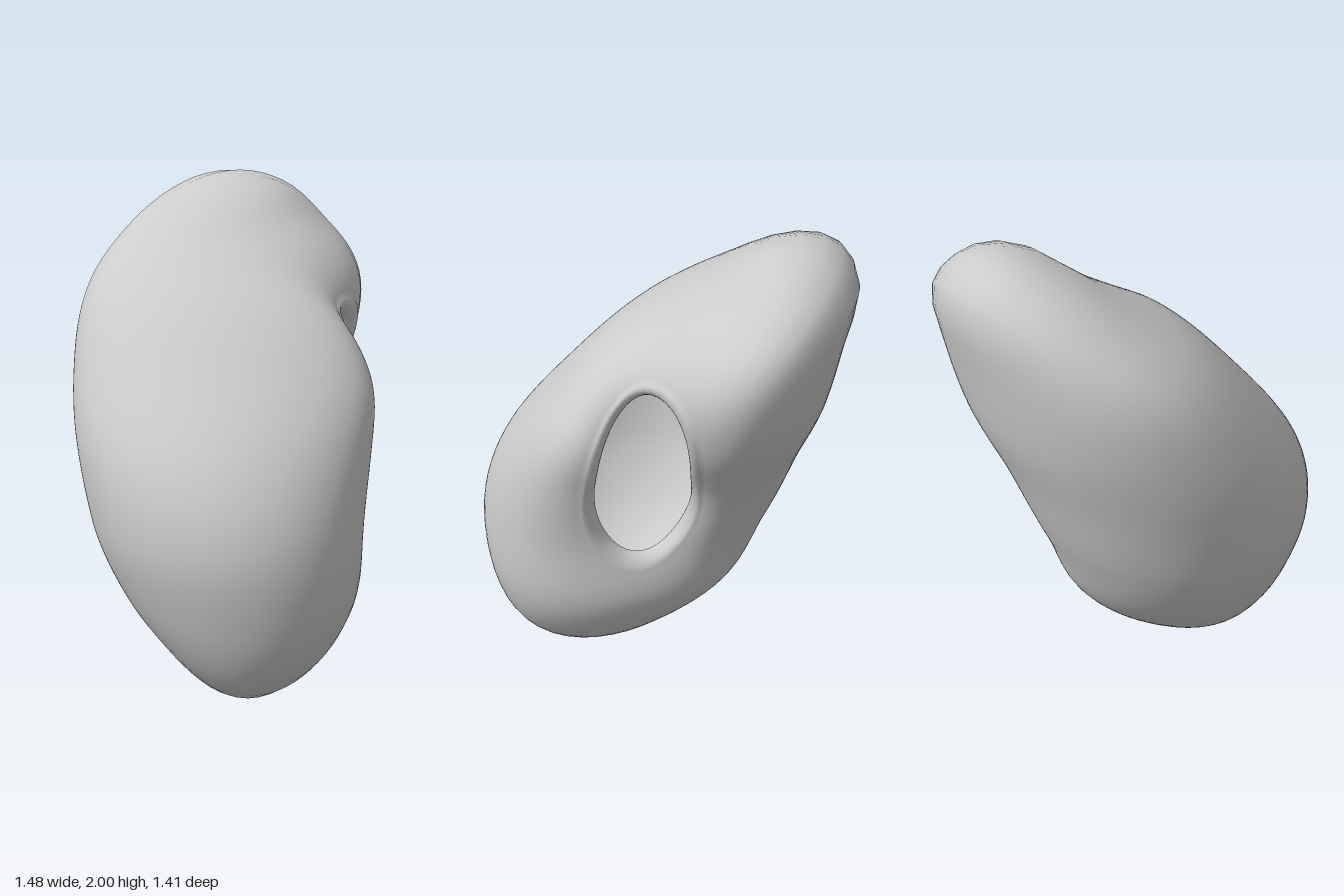
import * as THREE from 'three';
import { mergeVertices } from 'three/addons/utils/BufferGeometryUtils.js';

// Bounds of level slices, at heights y = 1 - cos(i * PI / 10)
const X_MIN = [-0.31, -0.45, -0.57, -0.675, -0.745, -0.715, -0.565, -0.365, -0.07, 0.19, 0.4];
const X_MAX = [-0.31, -0.13, 0.09, 0.28, 0.36, 0.5, 0.68, 0.745, 0.7, 0.56, 0.4];
const Z_MIN = [0.28, 0.11, -0.12, -0.36, -0.505, -0.6, -0.68, -0.705, -0.665, -0.55, -0.37];
const Z_MAX = [0.28, 0.45, 0.6, 0.69, 0.705, 0.655, 0.55, 0.36, 0.01, -0.16, -0.37];

const CENTRE = new THREE.Vector3(-0.1, 1, 0);

// Smooth interpolation through one list of bounds
function sample(list, f) {
  const i = Math.min(Math.floor(f), 9), t = f - i;
  const p = (k) => (k < 0 ? 2 * list[0] - list[1] : k > 10 ? 2 * list[10] - list[9] : list[k]);
  const m0 = (p(i + 1) - p(i - 1)) / 2, m1 = (p(i + 2) - p(i)) / 2;
  const t2 = t * t, t3 = t2 * t;
  return p(i) * (2 * t3 - 3 * t2 + 1) + m0 * (t3 - 2 * t2 + t)
    + p(i + 1) * (3 * t2 - 2 * t3) + m1 * (t3 - t2);
}

// True inside the leaning, undented body; slices are ellipses skewed by height
function inside(p) {
  if (p.y <= 0 || p.y >= 2) return false;
  const f = Math.acos(1 - p.y) / Math.PI * 10;
  const x0 = sample(X_MIN, f), x1 = sample(X_MAX, f);
  const z0 = sample(Z_MIN, f), z1 = sample(Z_MAX, f);
  const u = (2 * p.x - x0 - x1) / (x1 - x0), v = (2 * p.z - z0 - z1) / (z1 - z0);
  const skew = -0.08 + 0.4 * THREE.MathUtils.smoothstep(p.y, 0.7, 1.7);
  return u * u + v * v - 2 * skew * u * v < 1 - skew * skew;
}

// Distance from the centre to the body along a direction
function reach(dir) {
  let lo = 0, hi = 1.6;
  const p = new THREE.Vector3();
  for (let k = 0; k < 22; k++) {
    const mid = (lo + hi) / 2;
    if (inside(p.copy(CENTRE).addScaledVector(dir, mid))) lo = mid; else hi = mid;
  }
  return lo;
}

// Mouth axis and its side and upward directions
const AXIS = new THREE.Vector3(0.85, 0.05, 0.56).normalize();
const SIDE = new THREE.Vector3(0, 1, 0).cross(AXIS).normalize();
const UP = AXIS.clone().cross(SIDE);

// Angular radius of the egg-shaped mouth, narrower at the top
function mouth(psi) {
  const c = Math.cos(psi), s = Math.sin(psi);
  const wide = 0.45 - 0.1 * s, tall = 0.78 - 0.01 * s;
  return 1 / Math.hypot(c / wide, s / tall);
}

function shellGeometry() {
  const COLS = 96, WALL = 60, LIP = 10;

  // Rows run from the back of the cavity, over the lip, to the back of the body
  const rows = [];
  for (let i = 0; i < WALL; i++) rows.push({ t: 1 - i / WALL, s: Math.PI });
  for (let i = 0; i <= LIP; i++) rows.push({ t: 0, s: Math.PI * (1 - i / LIP) });
  for (let i = 1; i <= WALL; i++) rows.push({ t: i / WALL, s: 0 });

  const positions = [], index = [];
  const dir = new THREE.Vector3();
  for (const { t, s } of rows) {
    for (let j = 0; j < COLS; j++) {
      const psi = j / COLS * Math.PI * 2, rim = mouth(psi);
      const angle = rim + (Math.PI - rim) * Math.pow(t, 1.2) - 0.05 * Math.sin(s);
      dir.copy(AXIS).multiplyScalar(Math.cos(angle))
        .addScaledVector(SIDE, Math.sin(angle) * Math.cos(psi))
        .addScaledVector(UP, Math.sin(angle) * Math.sin(psi));
      // The body dips towards the mouth, most at its top and back edges
      const dip = 0.54 + 0.12 * Math.cos(psi) + 0.12 * Math.sin(psi);
      const q = Math.max(1, angle / rim);
      const r = reach(dir) * (1 - dip * Math.exp(-q * q / 0.75));
      // The wall is thickest at the lip
      const thick = 0.09 - 0.055 * Math.min(1, t * 4);
      dir.multiplyScalar(r - thick * (1 - Math.cos(s)) / 2).add(CENTRE);
      positions.push(dir.x, dir.y, dir.z);
    }
  }
  for (let i = 0; i < rows.length - 1; i++) {
    for (let j = 0; j < COLS; j++) {
      const k = (j + 1) % COLS;
      const a = i * COLS + j, b = a + COLS, c = (i + 1) * COLS + k, d = i * COLS + k;
      index.push(a, b, c, a, c, d);
    }
  }
  const g = new THREE.BufferGeometry();
  g.setAttribute('position', new THREE.Float32BufferAttribute(positions, 3));
  g.setIndex(index);
  const merged = mergeVertices(g, 1e-5);
  merged.computeVertexNormals();
  return merged;
}

export function createModel() {
  const group = new THREE.Group();
  group.name = 'hollowShell';
  const shell = new THREE.Mesh(shellGeometry(), new THREE.MeshStandardMaterial({ color: 0xcccccc }));
  shell.name = 'shellBody';
  group.add(shell);
  return group;
}
